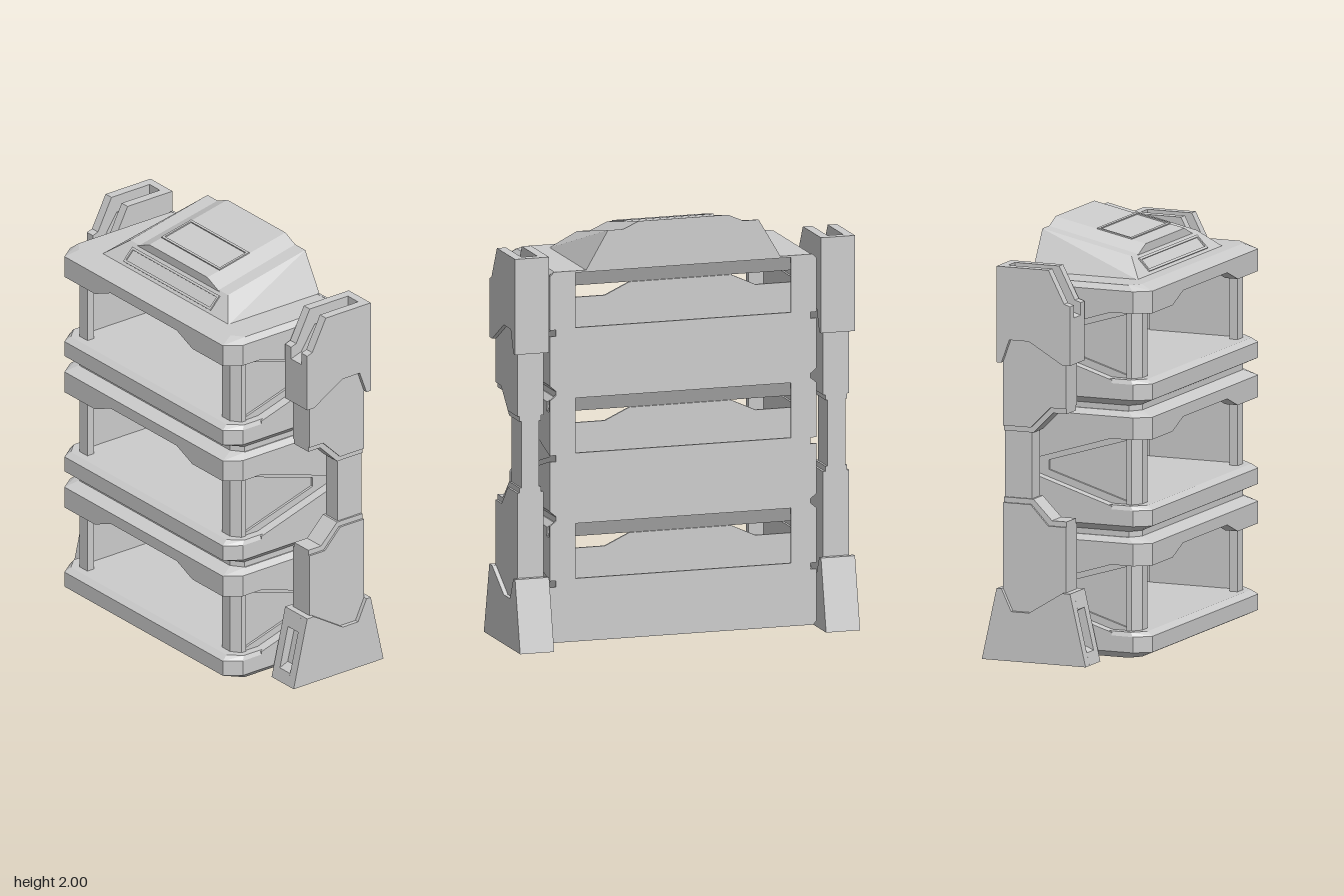
import * as THREE from 'three';
import { ConvexGeometry } from 'three/addons/geometries/ConvexGeometry.js';

const material = new THREE.MeshStandardMaterial({ color: 0xcccccc, flatShading: true, side: THREE.DoubleSide });
const PITCH = 0.597; // height of one compartment

export function createModel() {
  const root = new THREE.Group();
  root.name = 'shelfUnit';

  const add = (name, geometry, parent = root) => {
    const mesh = new THREE.Mesh(geometry, material);
    mesh.name = name;
    parent.add(mesh);
    return mesh;
  };
  const toShape = (pts, holes = []) => {
    const s = new THREE.Shape(pts.map(p => new THREE.Vector2(...p)));
    holes.forEach(h => s.holes.push(new THREE.Path(h.map(p => new THREE.Vector2(...p)))));
    return s;
  };
  const extrude = (pts, depth, holes) =>
    new THREE.ExtrudeGeometry(toShape(pts, holes), { depth, bevelEnabled: false });
  // side profile (x, y) extruded from z0 to z1, on both sides
  const pair = (name, pts, z0, z1, parent, holes) => {
    add(name + 'Left', extrude(pts, z1 - z0, holes).translate(0, 0, z0), parent);
    add(name + 'Right', extrude(pts, z1 - z0, holes).translate(0, 0, -z1), parent);
  };
  // plan outline (x, z) extruded from y0 to y1, on both sides
  const planPair = (name, pts, y0, y1, parent) => [1, -1].forEach(s =>
    add(name, extrude(pts.map(([x, z]) => [x, s * z]), y1 - y0).rotateX(-Math.PI / 2).translate(0, y0, 0), parent));
  // elevation outline (z, y) extruded from x0 to x1
  const wall = (name, pts, x0, x1, parent, holes) =>
    add(name, extrude(pts, x1 - x0, holes).rotateY(Math.PI / 2).translate(x0, 0, 0), parent);
  const convex = (name, pts, parent) =>
    add(name, new ConvexGeometry(pts.map(p => new THREE.Vector3(...p))), parent);
  const rect = (x0, y0, x1, y1) => [[x0, y0], [x1, y0], [x1, y1], [x0, y1]];

  // slab with clipped front corners; levels are [y, front inset, side inset, rear inset]
  const slab = (name, levels, parent) => {
    const pts = [];
    for (const [y, f, d, b = 0] of levels) for (const s of [1, -1])
      pts.push([-0.385 + f, y, s * (0.6 - d)], [-0.31 + f / 2, y, s * (0.655 - d)], [0.268 - b, y, s * (0.655 - d)]);
    return convex(name, pts, parent);
  };

  // three stacked open compartments
  for (let i = 0; i < 3; i++) {
    const bay = new THREE.Group();
    bay.name = 'compartment' + (i + 1);
    bay.position.y = i * PITCH;
    root.add(bay);

    slab('tray', [[0.02, 0.065, 0.03], [0.05, 0, 0], [0.125, 0, 0], [0.145, 0.03, 0.01]], bay);
    slab('ceiling', [[0.51, 0, 0, 0.04], [0.555, 0, 0, 0.04], [0.565, 0, 0, 0.028], [0.59, 0.065, 0.025]], bay);
    if (i < 2) slab('neck', [[0.58, 0.065, 0.03], [0.63, 0.065, 0.03]], bay);

    // front lip, deeper at the corners
    planPair('lipCorner', [[-0.385, 0.37], [-0.385, 0.6], [-0.31, 0.655], [-0.19, 0.655],
      [-0.19, 0.58], [-0.3, 0.53], [-0.32, 0.37]], 0.46, 0.51, bay);
    [1, -1].forEach(s => wall('lipSlope', [[s * 0.25, 0.51], [s * 0.37, 0.51], [s * 0.37, 0.46]], -0.385, -0.32, bay));

    // corner posts
    planPair('cornerPost', [[-0.32, 0.51], [-0.32, 0.57], [-0.285, 0.615], [-0.26, 0.615],
      [-0.26, 0.57], [-0.28, 0.51]], 0.13, 0.47, bay);

    // side walls with a sunken window in a wedge-shaped recess
    const windowHole = [[-0.255, 0.16], [-0.255, 0.445], [0.14, 0.325], [0.14, 0.28]];
    pair('sideWall', rect(-0.265, 0.13, 0.268, 0.52), 0.585, 0.607, bay, [windowHole]);
    pair('sideWindow', rect(-0.262, 0.14, 0.16, 0.46), 0.575, 0.595, bay);
    pair('lowerSideWedge', [[-0.2, 0.1], [0.268, 0.1], [0.268, 0.285], [-0.2, 0.14]], 0.59, 0.655, bay);
    pair('upperSideWedge', [[-0.2, 0.46], [0.268, 0.315], [0.268, 0.52], [-0.2, 0.52]], 0.59, 0.655, bay);

    // inner rear wall
    wall('innerRearWall', [[-0.58, 0.13], [0.58, 0.13], [0.58, 0.455], [0.37, 0.455], [0.25, 0.51],
      [-0.25, 0.51], [-0.37, 0.455], [-0.58, 0.455]], 0.225, 0.235, bay);
  }

  // rear panel with three slots and notched edges
  const edge = [[0.64, 0.02], [0.655, 0.04]];
  for (let i = 0; i < 3; i++) {
    const y = i * PITCH;
    edge.push([0.655, y + 0.285], [0.625, y + 0.285], [0.625, y + 0.315], [0.655, y + 0.315]);
    if (i < 2) edge.push([0.655, y + 0.575], [0.625, y + 0.6], [0.625, y + 0.62], [0.655, y + 0.645]);
  }
  edge.push([0.655, 1.765], [0.635, 1.785]);
  const otherEdge = edge.map(([z, y]) => [-z, y]).reverse();
  const slots = [0, 1, 2].map(i => rect(-0.53, 0.32 + i * PITCH, 0.53, 0.582 + i * PITCH));
  wall('rearPanel', [...edge, ...otherEdge], 0.268, 0.28, root, slots);

  // sloping hood on top
  const both = list => list.flatMap(([x, y, z]) => [[x, y, z], [x, y, -z]]);
  convex('hood', both([[-0.26, 1.78, 0.48], [0.28, 1.78, 0.48], [-0.175, 1.87, 0.37], [0.28, 1.967, 0.37]]));
  convex('hoodCap', both([[-0.18, 1.865, 0.31], [-0.18, 1.905, 0.22], [0.28, 1.96, 0.31], [0.28, 2, 0.22]]));
  const frame = (name, w, l, t, x, y, angle) => {
    const m = add(name, extrude(rect(-w / 2, -l / 2, w / 2, l / 2), 0.008,
      [rect(-w / 2 + t, -l / 2 + t, w / 2 - t, l / 2 - t)]).rotateX(-Math.PI / 2));
    m.position.set(x, y, 0);
    m.rotation.z = angle;
  };
  frame('hoodHatchFrame', 0.18, 0.44, 0.012, -0.02, 1.936, Math.atan(0.206));
  frame('hoodVentFrame', 0.08, 0.66, 0.012, -0.217, 1.823, Math.atan2(0.09, 0.085));

  // side pillars
  const layered = (name, outer, core) => {
    pair(name + 'Inner', outer, 0.668, 0.713);
    pair(name + 'Core', core, 0.713, 0.79);
    pair(name + 'Outer', outer, 0.79, 0.835);
  };
  // feet with a slit in the front slope
  const footTop = [[0.38, 0], [0.305, 0.34], [0.28, 0.34], [0.23, 0.235], [0.14, 0.235], [-0.03, 0.34], [-0.07, 0.34]];
  layered('foot', [[-0.15, 0], ...footTop],
    [[-0.15, 0], ...footTop, [-0.089, 0.26], [-0.05, 0.24], [-0.09, 0.08], [-0.136, 0.06]]);
  // heads with a groove open at the top
  const headBase = [[-0.07, 1.42], [-0.03, 1.42], [0.14, 1.52], [0.24, 1.52], [0.28, 1.41], [0.305, 1.41], [0.305, 1.865]];
  layered('head', [...headBase, [0.04, 1.865], [-0.04, 1.71], [-0.07, 1.7]],
    [...headBase, [0.265, 1.865], [0.265, 1.78], [0.07, 1.78], [-0.01, 1.66], [-0.07, 1.64]]);
  // legs with thinner stepped collars around a slim waist
  pair('lowerLeg', [[-0.04, 0.2], [0.28, 0.2], [0.28, 0.745], [0.14, 0.745], [0.05, 0.65], [-0.04, 0.65]], 0.687, 0.815);
  pair('lowerCollar', [[-0.04, 0.6], [0.28, 0.6], [0.28, 0.77], [0.13, 0.77], [0.035, 0.675], [-0.04, 0.675]], 0.698, 0.805);
  pair('upperLeg', [[-0.04, 1.21], [0.04, 1.21], [0.14, 1.11], [0.28, 1.11], [0.28, 1.6], [-0.04, 1.6]], 0.687, 0.815);
  pair('upperCollar', [[-0.04, 1.185], [0.03, 1.185], [0.13, 1.085], [0.28, 1.085], [0.28, 1.3], [-0.04, 1.3]], 0.698, 0.805);
  pair('waist', rect(0.14, 0.7, 0.28, 1.15), 0.708, 0.796);

  return root;
}
